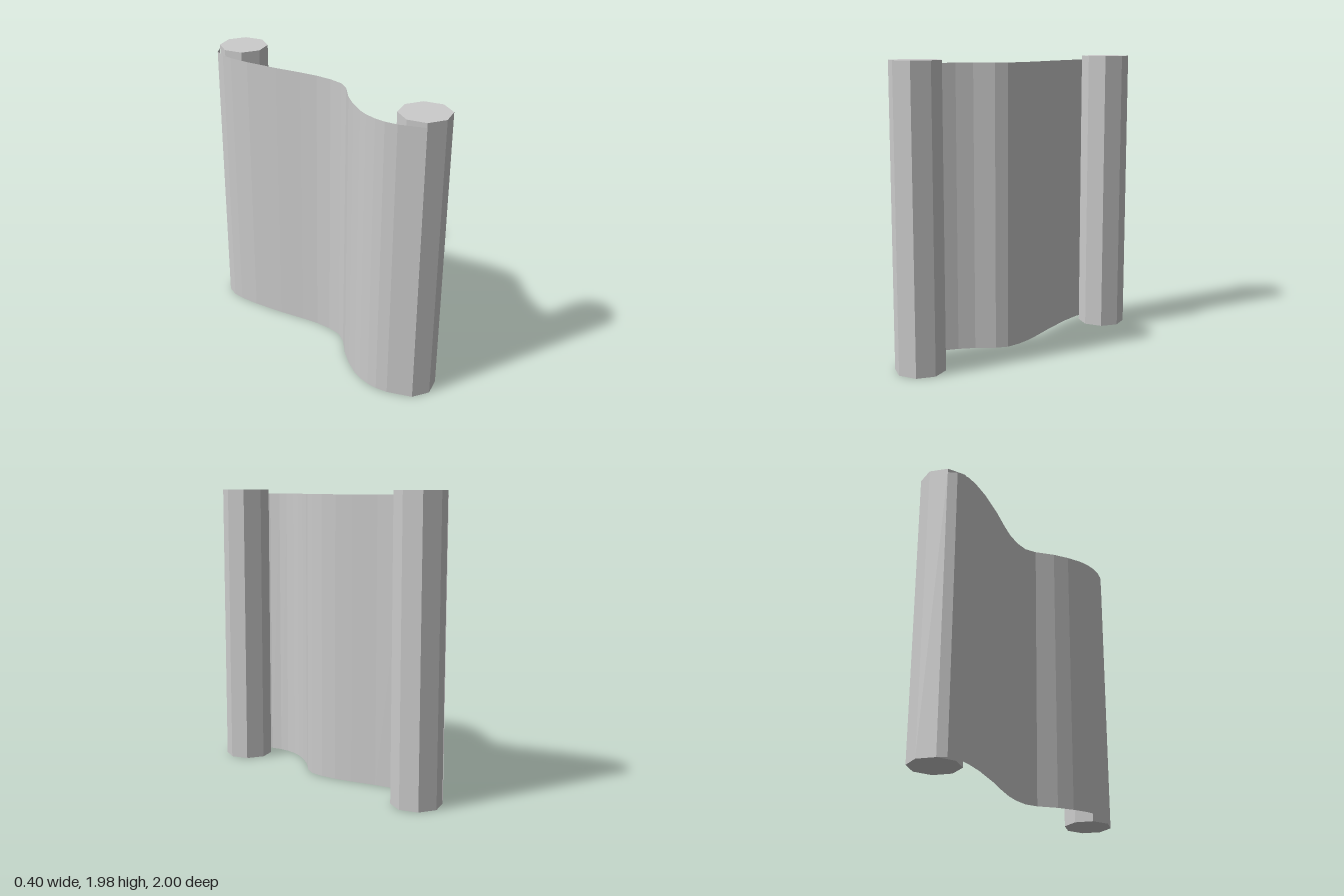
import * as THREE from 'three';

const POST_RADIUS = 0.166, POST_HEIGHT = 1.98, SHEET_HEIGHT = 1.95;

// Plan of the wavy sheet as [x, z], from the front post to the back post
const WAVE = [
  [-0.085, 0.95], [-0.17, 0.8], [-0.193, 0.72], [-0.2, 0.65], [-0.193, 0.57], [-0.175, 0.5],
  [-0.13, 0.4], [-0.07, 0.3], [0.02, 0.19], [0.057, 0.11], [0.057, 0.01], [0.037, -0.1],
  [0, -0.22], [-0.06, -0.39], [-0.125, -0.61], [-0.153, -0.75], [-0.158, -0.83],
  [-0.135, -0.915], [-0.085, -0.955],
];

function createSheet(material) {
  // One flat panel per wave segment, bent by moving each column of vertices
  const columns = WAVE.length;
  const geometry = new THREE.PlaneGeometry(1, SHEET_HEIGHT, columns - 1, 1);
  geometry.translate(0, SHEET_HEIGHT / 2, 0);
  const position = geometry.attributes.position;
  for (let i = 0; i < position.count; i++) {
    const [x, z] = WAVE[i % columns];
    position.setX(i, x);
    position.setZ(i, z);
  }
  geometry.computeVertexNormals();
  const sheet = new THREE.Mesh(geometry, material);
  sheet.name = 'wavySheet';
  return sheet;
}

export function createModel() {
  const group = new THREE.Group();
  group.name = 'sheetBetweenPosts';
  const postMaterial = new THREE.MeshStandardMaterial({ color: 0xcccccc, flatShading: true });
  const sheetMaterial = new THREE.MeshStandardMaterial({
    color: 0xcccccc, flatShading: true, side: THREE.DoubleSide,
  });

  // Octagonal posts at both ends
  const postGeometry = new THREE.CylinderGeometry(POST_RADIUS, POST_RADIUS, POST_HEIGHT, 8);
  for (const [name, side] of [['frontPost', 1], ['backPost', -1]]) {
    const post = new THREE.Mesh(postGeometry, postMaterial);
    post.name = name;
    post.position.set(0.033, POST_HEIGHT / 2, side * (1 - POST_RADIUS));
    group.add(post);
  }

  // Thin sheet hanging between the posts
  group.add(createSheet(sheetMaterial));
  return group;
}
